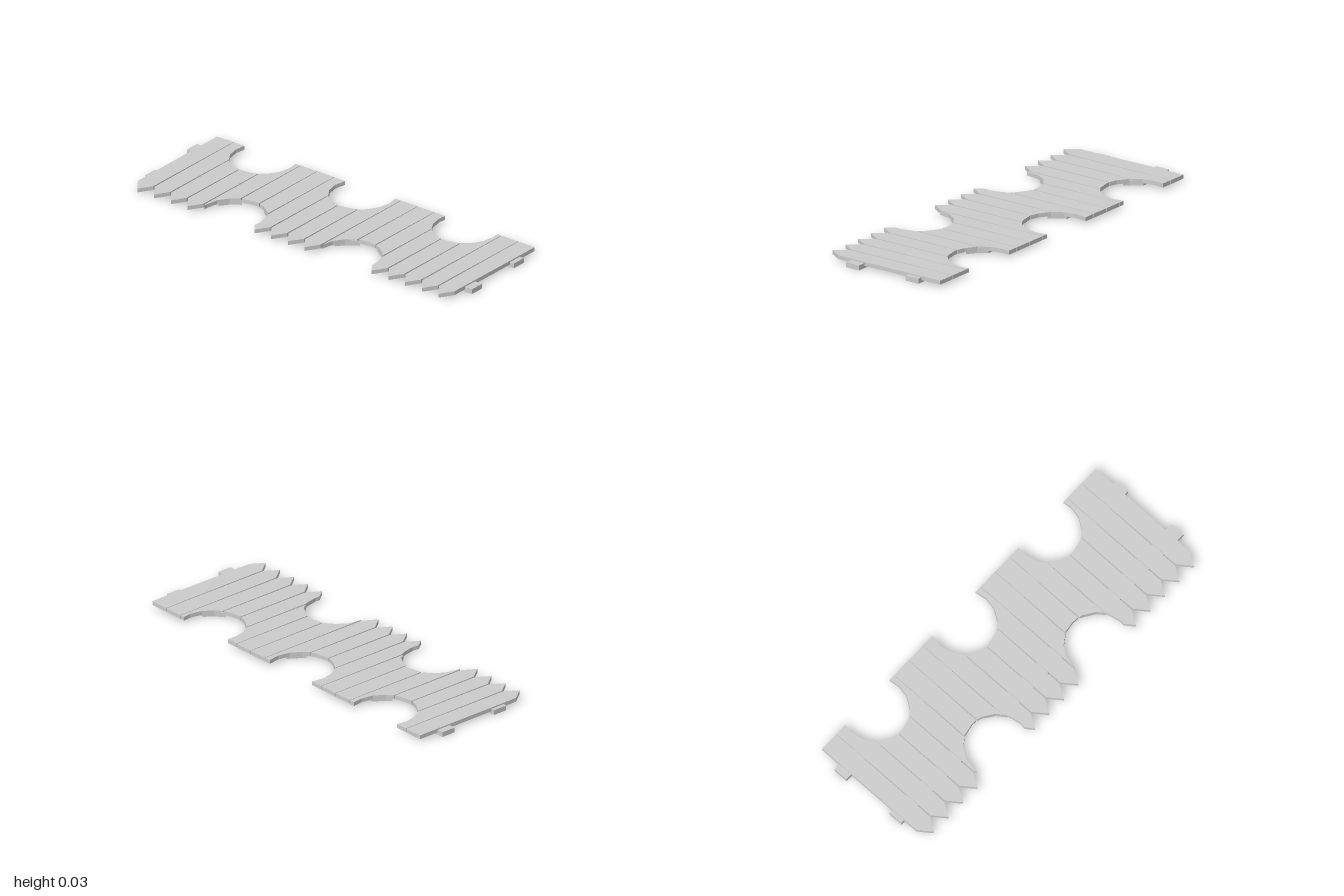
import * as THREE from 'three';

const material = new THREE.MeshStandardMaterial({ color: 0xcccccc, side: THREE.DoubleSide });

const PLANKS = 19, PITCH = 0.1011, FIRST = -0.91;
const BITE_SIDES = 16;

// Round bites in plan: x, depth axis (back is positive), radius
const backBites = [[-0.642, 0.287, 0.162], [-0.037, 0.279, 0.162], [0.574, 0.298, 0.162]];
const frontBites = [[-0.388, -0.259, 0.16], [0.312, -0.263, 0.16]];
const bites = [...backBites, ...frontBites];

// Split every edge of an outline into short steps
function densify(points, step = 0.003) {
  const out = [];
  points.forEach((a, i) => {
    const b = points[(i + 1) % points.length];
    const n = Math.max(1, Math.ceil(a.distanceTo(b) / step));
    for (let k = 0; k < n; k++) out.push(a.clone().lerp(b, k / n));
  });
  return out;
}

// Drop points that lie on a straight edge
function simplify(points) {
  const n = points.length;
  return points.filter((p, i) => {
    const a = points[(i + n - 1) % n], b = points[(i + 1) % n];
    return Math.abs((p.x - a.x) * (b.y - p.y) - (p.y - a.y) * (b.x - p.x)) > 1e-9;
  });
}

// Cut one round bite out of a counter-clockwise outline
function cutBite(outline, [cx, cy, r]) {
  const pts = densify(outline), n = pts.length;
  const outside = pts.map((p) => Math.hypot(p.x - cx, p.y - cy) >= r);
  if (outside.every(Boolean)) return outline;
  let best = [], run = [];
  const start = outside.indexOf(false);
  for (let k = 0; k <= n; k++) {
    const i = (start + k) % n;
    if (outside[i]) run.push(pts[i]);
    else {
      if (run.length > best.length) best = run;
      run = [];
    }
  }
  if (best.length < 3) return [];
  // Close the remaining run with a clockwise arc along the bite
  const step = (2 * Math.PI) / BITE_SIDES;
  const angle = (p) => Math.atan2(p.y - cy, p.x - cx);
  const from = angle(best[best.length - 1]);
  let to = angle(best[0]);
  while (to > from) to -= 2 * Math.PI;
  const arc = [];
  for (let k = Math.ceil(from / step) - 1; k * step > to; k--) {
    arc.push(new THREE.Vector2(cx + r * Math.cos(k * step), cy + r * Math.sin(k * step)));
  }
  return simplify([...best, ...arc]);
}

// Board with a top and side walls, hollow underneath
function board(name, corners, bottom, top) {
  let outline = corners.map(([x, y]) => new THREE.Vector2(x, y));
  for (const bite of bites) if (outline.length) outline = cutBite(outline, bite);
  if (outline.length < 3) return null;
  const solid = new THREE.ExtrudeGeometry(new THREE.Shape(outline), { depth: top - bottom, bevelEnabled: false });
  const p = solid.attributes.position, kept = [];
  for (let i = 0; i < p.count; i += 3) {
    if (Math.max(p.getZ(i), p.getZ(i + 1), p.getZ(i + 2)) < 1e-6) continue;
    for (let k = i; k < i + 3; k++) kept.push(p.getX(k), p.getY(k), p.getZ(k));
  }
  const geometry = new THREE.BufferGeometry();
  geometry.setAttribute('position', new THREE.Float32BufferAttribute(kept, 3));
  geometry.rotateX(-Math.PI / 2);
  geometry.translate(0, bottom, 0);
  geometry.computeVertexNormals();
  const mesh = new THREE.Mesh(geometry, material);
  mesh.name = name;
  return mesh;
}

// Rail split at the bites that cut through it
function rail(name, x0, x1, y, cuts) {
  const group = new THREE.Group();
  group.name = name;
  const stops = [x0, ...cuts.map((b) => b[0]), x1], h = 0.038;
  for (let i = 0; i + 1 < stops.length; i++) {
    const [a, b] = [stops[i], stops[i + 1]];
    const piece = board('railPiece', [[a, y - h], [b, y - h], [b, y + h], [a, y + h]], 0, 0.025);
    if (piece) group.add(piece);
  }
  return group;
}

export function createModel() {
  const model = new THREE.Group();
  model.name = 'brokenFencePanel';
  const panel = new THREE.Group();
  panel.name = 'panel';

  // Pointed planks with gaps that widen toward the points
  const planks = new THREE.Group();
  planks.name = 'planks';
  for (let i = 0; i < PLANKS; i++) {
    const c = FIRST + i * PITCH, left = c - PITCH / 2, right = c + PITCH / 2;
    const plank = board('plank', [
      [c, -0.335], [right - 0.008, -0.267], [right - 0.003, 0.34],
      [left, 0.34], [left, -0.267],
    ], 0.012, 0.032);
    if (plank) planks.add(plank);
  }
  panel.add(planks);

  // Two cross rails beneath the planks
  panel.add(rail('backRail', -0.995, 0.98, 0.19, backBites));
  panel.add(rail('frontRail', -0.98, 0.996, -0.15, frontBites));

  panel.rotation.y = 0.03;
  model.add(panel);
  return model;
}
